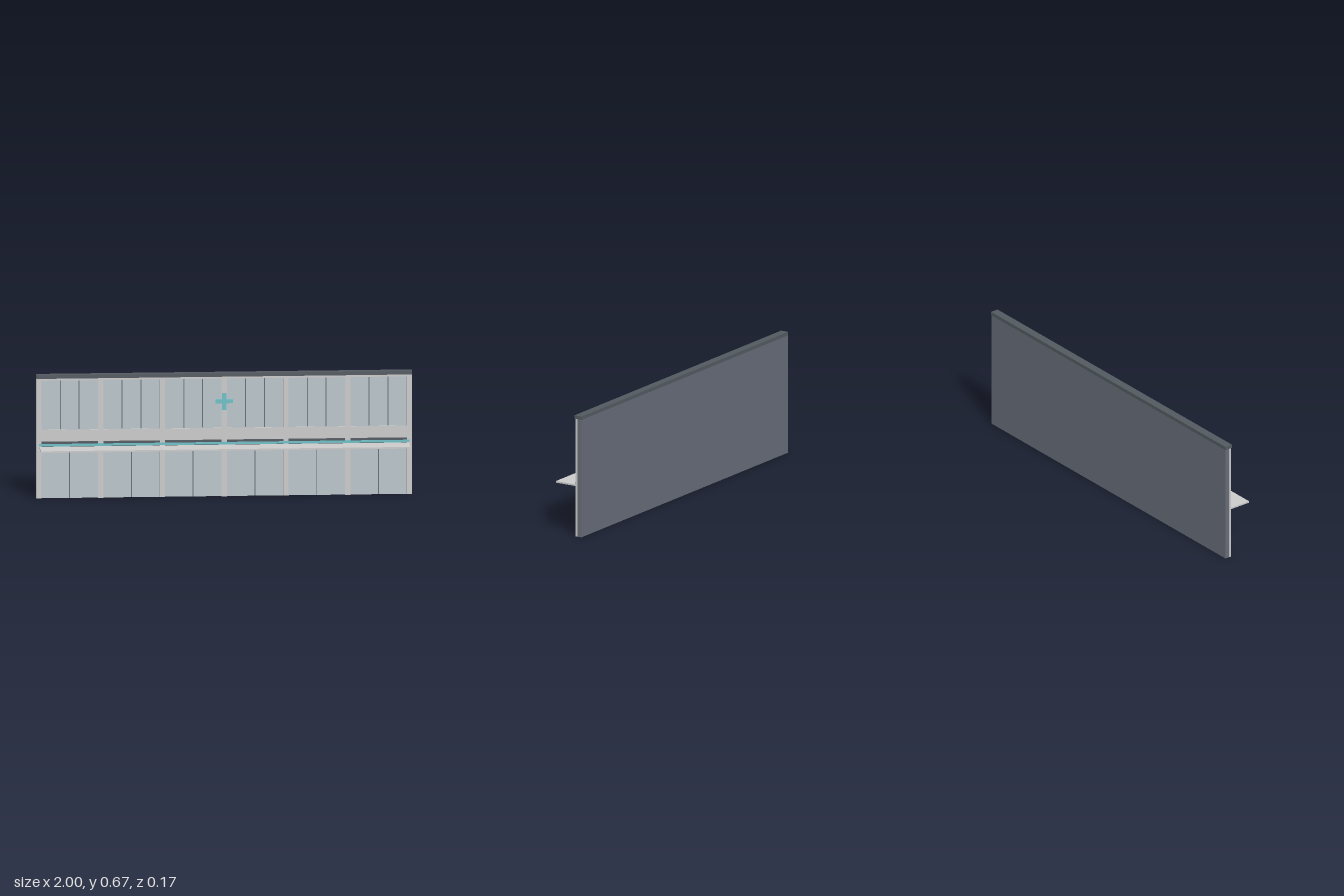
import * as THREE from 'three';

export function createModel() {
  const root = new THREE.Group();
  const material = (color) => new THREE.MeshStandardMaterial({ color });
  const wallMat = material(0x666c78);
  const trimMat = material(0x535a60);
  const panelMat = material(0xbac5cb);
  const greyMat = material(0xcccccc);
  const tealMat = material(0x6fc0c8);

  // Box given by its lower and upper bounds on each axis
  function box(name, mat, [x0, x1], [y0, y1], [z0, z1], parent = root) {
    const mesh = new THREE.Mesh(new THREE.BoxGeometry(x1 - x0, y1 - y0, z1 - z0), mat);
    mesh.position.set((x0 + x1) / 2, (y0 + y1) / 2, (z0 + z1) / 2);
    mesh.name = name;
    parent.add(mesh);
  }

  // Backing wall and top cap
  box('wall', wallMat, [-0.999, 0.999], [0, 0.65], [-0.085, -0.06]);
  box('topCap', trimMat, [-1, 1], [0.648, 0.667], [-0.086, -0.042]);

  // Seven vertical ribs
  const bays = 6;
  const ribWidth = 0.028;
  const pitch = (2 - ribWidth) / bays;
  const ribX = (i) => -1 + ribWidth / 2 + i * pitch;
  for (let i = 0; i <= bays; i++) {
    const x = ribX(i);
    box('rib', greyMat, [x - ribWidth / 2, x + ribWidth / 2], [0, 0.648], [-0.06, -0.047]);
  }

  // Each bay: three boards above, two below, rails and a dark channel
  const gap = 0.005;
  for (let i = 0; i < bays; i++) {
    const bay = new THREE.Group();
    bay.name = 'bay';
    root.add(bay);
    const x0 = ribX(i) + ribWidth / 2;
    const x1 = ribX(i + 1) - ribWidth / 2;
    const boards = (name, count, y) => {
      const w = (x1 - x0) / count;
      for (let k = 0; k < count; k++) {
        const left = x0 + k * w + (k > 0 ? gap / 2 : 0);
        const right = x0 + (k + 1) * w - (k < count - 1 ? gap / 2 : 0);
        box(name, panelMat, [left, right], y, [-0.06, -0.056], bay);
      }
    };
    boards('upperBoard', 3, [0.37, 0.636]);
    boards('lowerBoard', 2, [0, 0.27]);
    box('topRail', greyMat, [x0, x1], [0.636, 0.648], [-0.06, -0.051], bay);
    box('middleRail', greyMat, [x0, x1], [0.305, 0.37], [-0.06, -0.05], bay);
    box('channel', trimMat, [x0, x1], [0.268, 0.307], [-0.06, -0.039], bay);
  }

  // Light strip and shelf running across the bays
  box('lightStrip', tealMat, [-0.985, 0.985], [0.283, 0.296], [-0.047, -0.037]);
  box('shelf', greyMat, [-0.983, 0.983], [0.272, 0.281], [-0.047, 0.087]);

  // Cross emblem on the middle rib
  const cross = new THREE.Group();
  cross.name = 'cross';
  root.add(cross);
  box('crossUpright', tealMat, [-0.011, 0.011], [0.467, 0.56], [-0.048, -0.043], cross);
  for (const s of [-1, 1]) {
    const inner = 0.011 * s, outer = 0.047 * s;
    box('crossArm', tealMat, [Math.min(inner, outer), Math.max(inner, outer)],
      [0.504, 0.525], [-0.056, -0.043], cross);
  }

  return root;
}
